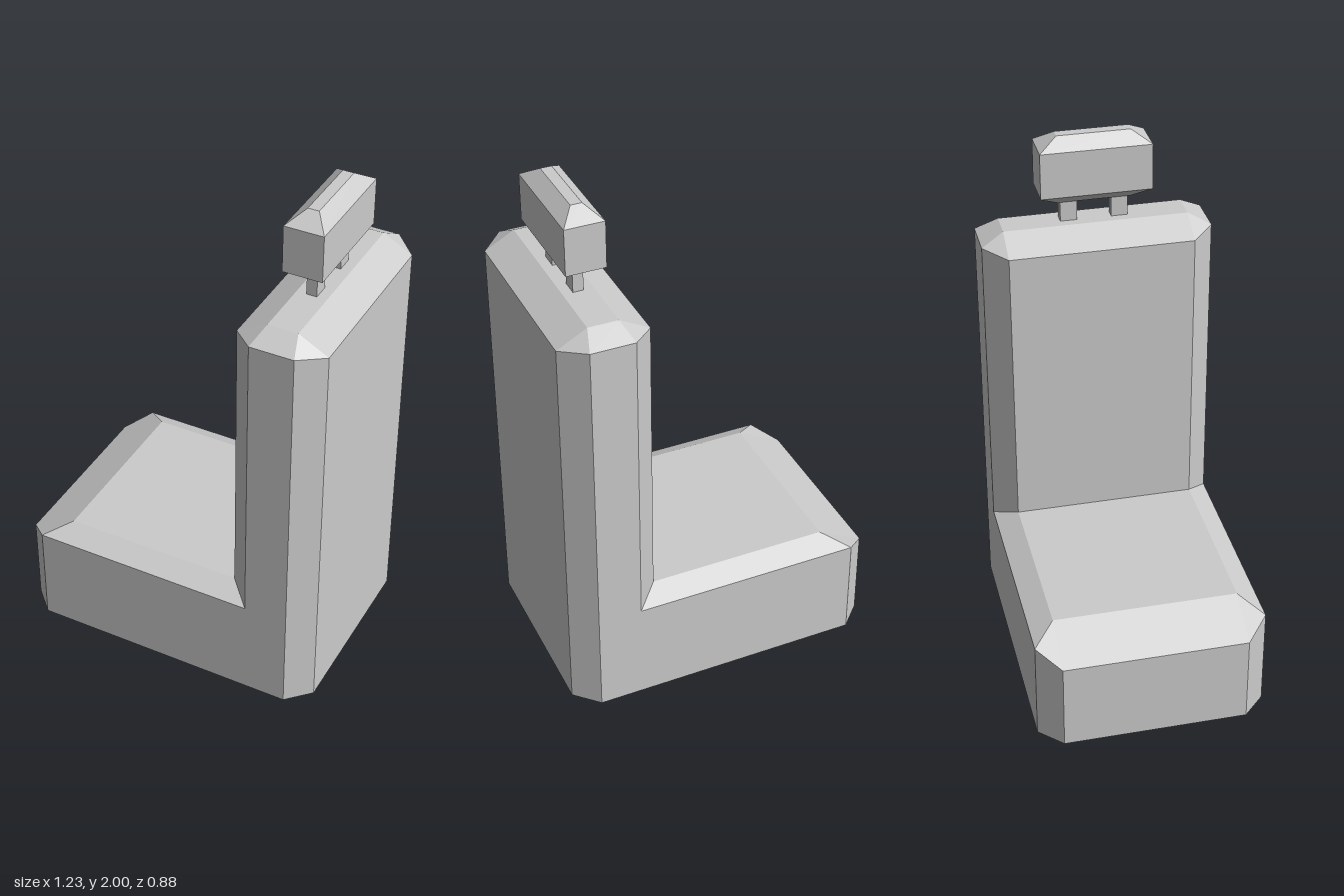
import * as THREE from 'three';

const material = new THREE.MeshStandardMaterial({ color: 0xcccccc, flatShading: true });

// Flat-faced solid, symmetric in z: side faces are mirrored, and the
// closed centre profile is bridged straight across to its mirror image.
function mirroredSolid(points, sideFaces, profile) {
  const positions = [];
  const mirror = ([x, y, z]) => [x, y, -z];
  const addFace = (corners) => {
    for (let i = 1; i < corners.length - 1; i++) {
      positions.push(...corners[0], ...corners[i], ...corners[i + 1]);
    }
  };
  for (const face of sideFaces) {
    const corners = face.split(' ').map((key) => points[key]);
    addFace(corners);
    addFace(corners.map(mirror).reverse());
  }
  const loop = profile.split(' ').map((key) => points[key]);
  loop.forEach((p, i) => {
    const q = loop[(i + 1) % loop.length];
    addFace([p, q, mirror(q), mirror(p)]);
  });
  const geometry = new THREE.BufferGeometry();
  geometry.setAttribute('position', new THREE.Float32BufferAttribute(positions, 3));
  geometry.computeVertexNormals();
  return geometry;
}

// Seat cushion and backrest as one chamfered L-shaped body
function seatGeometry() {
  const inner = 0.355, outer = 0.442;
  const points = {
    // seat front and its chamfered corner
    a0: [-0.617, 0, inner], a1: [-0.617, 0.356, inner],
    b0: [-0.53, 0, outer], b1: [-0.53, 0.405, outer],
    c: [-0.435, 0.45, inner],
    // where the cushion meets the backrest
    d1: [0.27, 0.45, inner], d2: [0.27, 1.59, inner],
    e0: [0.358, 0, outer], e1: [0.358, 0.405, outer], e2: [0.358, 1.606, outer],
    // back edge
    f0: [0.527, 0, outer], f2: [0.527, 1.606, outer],
    g0: [0.615, 0, inner], g2: [0.615, 1.59, inner],
    // flat top of the backrest
    t1: [0.385, 1.652, inner], t2: [0.5, 1.652, inner],
  };
  const sideFaces = [
    'a0 b0 b1 a1', 'b0 e0 e1 b1', 'f0 f2 e2 e1 e0', 'f0 g0 g2 f2', // walls
    'a1 b1 c', 'b1 e1 d1 c', 'd1 e1 e2 d2', // cushion bevels, backrest corner
    'd2 e2 t1', 'e2 f2 t2 t1', 'f2 g2 t2', // backrest top bevels
    'a0 g0 f0 e0 b0', // underside
  ];
  return mirroredSolid(points, sideFaces, 'a0 a1 c d1 d2 t1 t2 g2 g0');
}

// Box with its top and bottom rows pulled inward
function headrestGeometry() {
  const geometry = new THREE.BoxGeometry(0.15, 0.27, 0.426, 1, 3, 1);
  const pos = geometry.attributes.position;
  for (let i = 0; i < pos.count; i++) {
    const y = pos.getY(i);
    if (Math.abs(y) > 0.1) {
      pos.setX(i, pos.getX(i) * 0.28);
      pos.setZ(i, pos.getZ(i) * 0.66);
    } else {
      pos.setY(i, Math.sign(y) * 0.09);
    }
  }
  const flat = geometry.toNonIndexed();
  flat.computeVertexNormals();
  return flat;
}

export function createModel() {
  const group = new THREE.Group();
  group.name = 'carSeat';
  const add = (name, geometry, x, y, z) => {
    const mesh = new THREE.Mesh(geometry, material);
    mesh.name = name;
    mesh.position.set(x, y, z);
    group.add(mesh);
  };

  add('seatBody', seatGeometry(), 0, 0, 0);
  add('headrest', headrestGeometry(), 0.442, 1.865, 0);

  // Two posts carry the headrest
  for (const side of [1, -1]) {
    const name = side > 0 ? 'leftHeadrestPost' : 'rightHeadrestPost';
    add(name, new THREE.BoxGeometry(0.04, 0.1, 0.064), 0.442, 1.69, side * 0.098);
  }
  return group;
}
